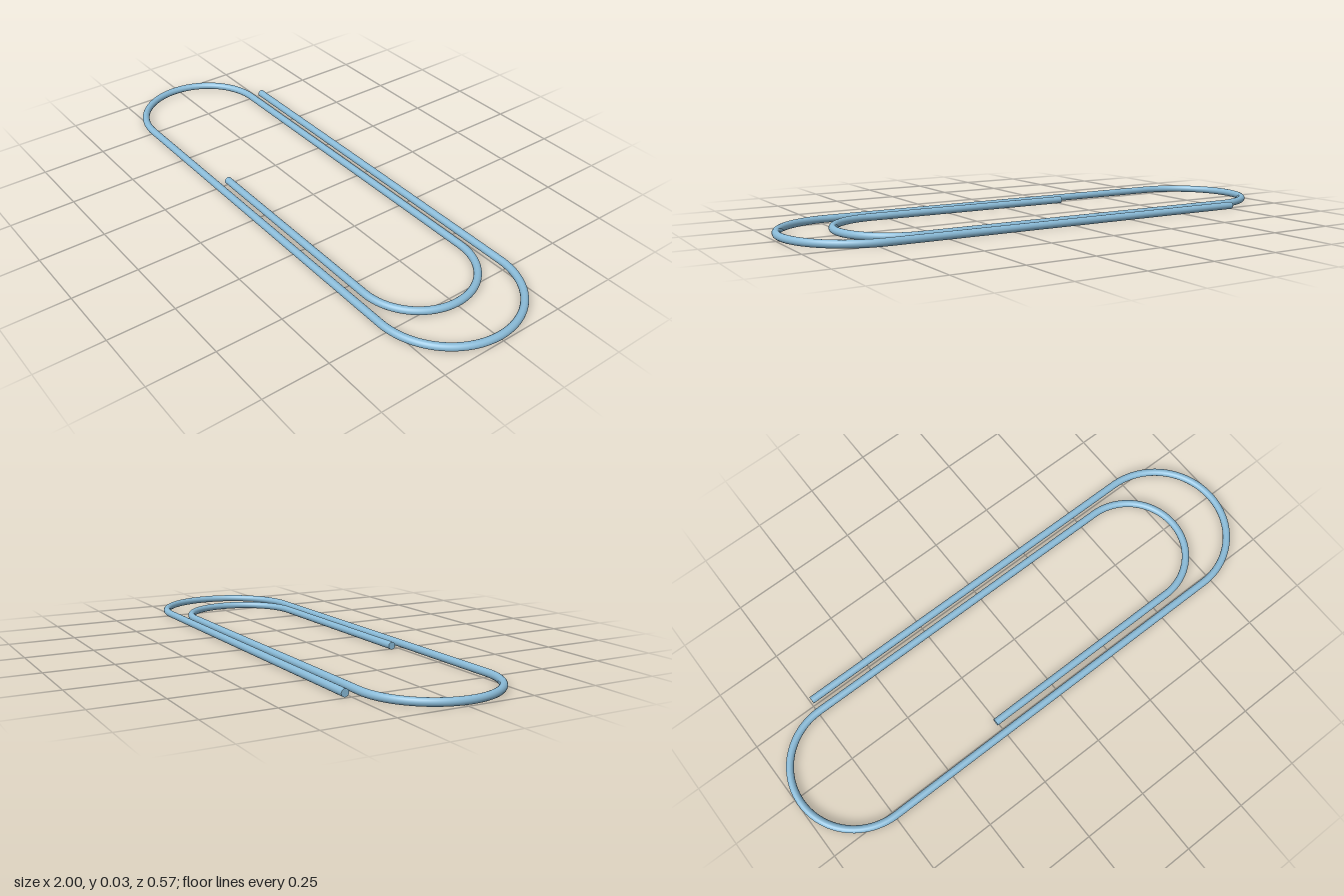
import * as THREE from 'three';

const R = 0.014;      // wire radius
const OUTER = 0.269;  // half width of the outer loop
const INNER = 0.2175; // half width of the inner loop

// Half circle lying flat, starting at angle a0 and turning by PI
class FlatBend extends THREE.Curve {
  constructor(x, z, radius, a0) {
    super();
    Object.assign(this, { x, z, radius, a0 });
  }
  getPoint(t, target = new THREE.Vector3()) {
    const a = this.a0 + Math.PI * t;
    return target.set(this.x + this.radius * Math.cos(a), R, this.z + this.radius * Math.sin(a));
  }
}

const straight = (x0, x1, z) =>
  new THREE.LineCurve3(new THREE.Vector3(x0, R, z), new THREE.Vector3(x1, R, z));

export function createModel() {
  const group = new THREE.Group();
  group.name = 'paperClip';
  const material = new THREE.MeshStandardMaterial({ color: 0x8abbd8 });

  // Wire centre line: straights joined by three half-circle bends
  const leftX = -0.743, outerX = 0.717, innerX = 0.572, tipX = -0.257;
  const path = new THREE.CurvePath();
  path.add(straight(leftX, outerX, -OUTER));
  path.add(new FlatBend(outerX, 0, OUTER, -Math.PI / 2));
  path.add(straight(outerX, leftX, OUTER));
  path.add(new FlatBend(leftX, (OUTER - INNER) / 2, (OUTER + INNER) / 2, Math.PI / 2));
  path.add(straight(leftX, innerX, -INNER));
  path.add(new FlatBend(innerX, 0, INNER, -Math.PI / 2));
  path.add(straight(innerX, tipX, INNER));

  const wire = new THREE.Mesh(new THREE.TubeGeometry(path, 480, R, 20), material);
  wire.name = 'wire';
  group.add(wire);

  // Flat cut ends, both facing -x
  const capGeometry = new THREE.CircleGeometry(R, 20).rotateY(-Math.PI / 2);
  for (const [name, x, z] of [['outerEnd', leftX, -OUTER], ['innerEnd', tipX, INNER]]) {
    const cap = new THREE.Mesh(capGeometry, material);
    cap.name = name;
    cap.position.set(x, R, z);
    group.add(cap);
  }
  return group;
}
